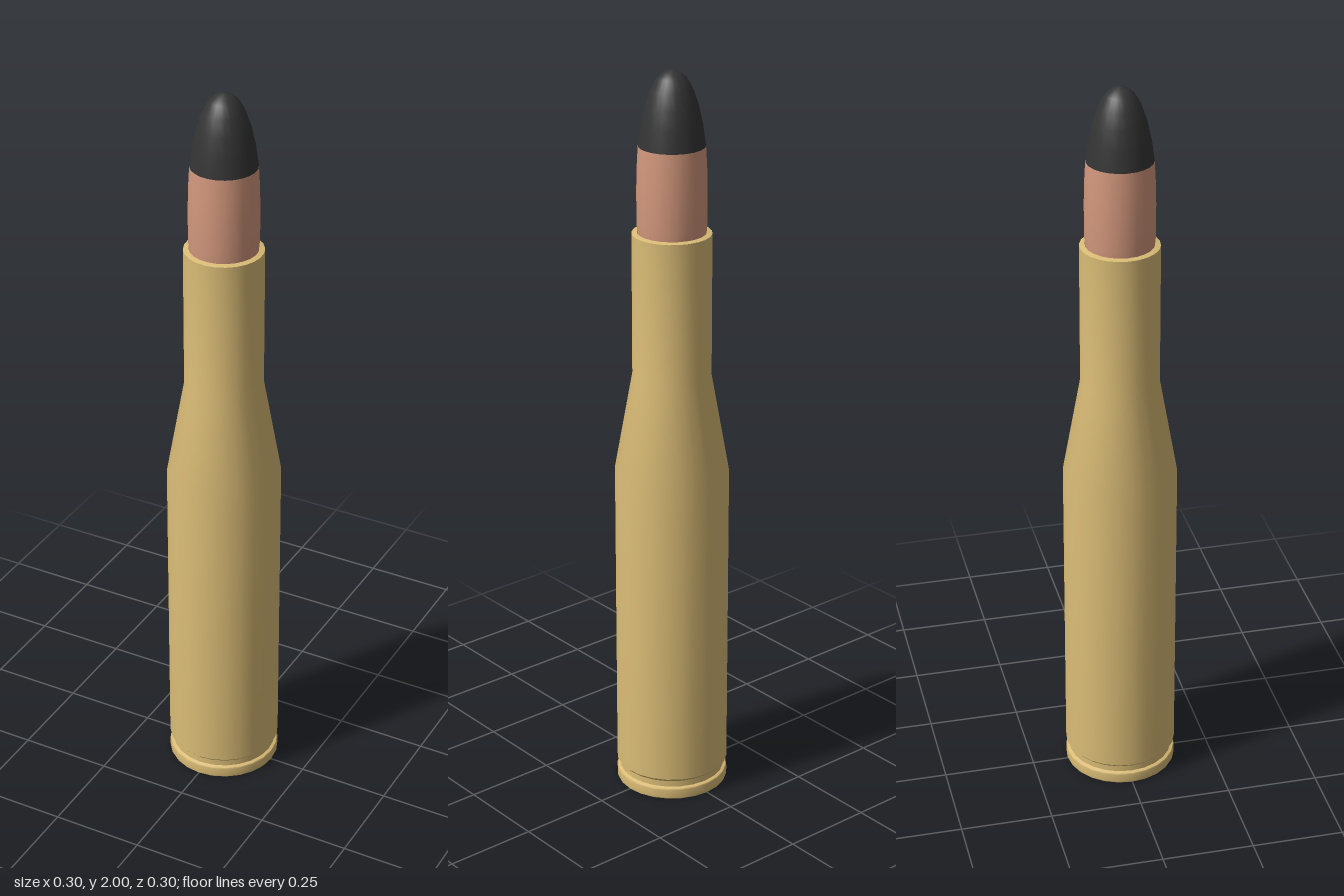
import * as THREE from 'three';

const SIDES = 24;

export function createModel() {
  const group = new THREE.Group();
  const material = (name, color) => {
    const m = new THREE.MeshStandardMaterial({ color });
    m.name = name;
    return m;
  };
  const brass = material('brass', 0xdabc76);
  const copper = material('copper', 0xd3987d);
  const black = material('black', 0x343434);

  // Turns a profile of [radius, height] pairs, listed from bottom to top
  const turn = (name, mat, points) => {
    const profile = points.map(([r, y]) => new THREE.Vector2(r, y));
    const mesh = new THREE.Mesh(new THREE.LatheGeometry(profile, SIDES), mat);
    mesh.name = name;
    group.add(mesh);
  };

  // Base disc and rim
  turn('base', brass, [[0, 0], [0.15, 0]]);
  turn('rim', brass, [[0.15, 0], [0.152, 0.004], [0.152, 0.026], [0.15, 0.03]]);
  turn('rimTop', brass, [[0.15, 0.03], [0.142, 0.033]]);

  // Extractor groove and its flare up to the body
  turn('groove', brass, [[0.142, 0.033], [0.142, 0.05]]);
  turn('grooveFlare', brass, [[0.142, 0.05], [0.152, 0.06]]);

  // Body, shoulder and neck in one smooth shell
  turn('case', brass, [[0.152, 0.06], [0.152, 0.92], [0.104, 1.19], [0.104, 1.575]]);

  // Mouth of the case and its inner wall
  turn('mouth', brass, [[0.104, 1.575], [0.09, 1.578]]);
  turn('mouthInside', brass, [[0.09, 1.578], [0.088, 1.56]]);

  // Jacket, tucked slightly into the mouth
  turn('jacket', copper, [[0.087, 1.56], [0.091, 1.6], [0.091, 1.69], [0.0895, 1.75], [0.0865, 1.805]]);

  // Rounded dark tip
  turn('tip', black, [
    [0.0865, 1.805], [0.079, 1.86], [0.068, 1.91], [0.054, 1.95],
    [0.037, 1.98], [0.019, 1.995], [0, 2],
  ]);

  return group;
}
